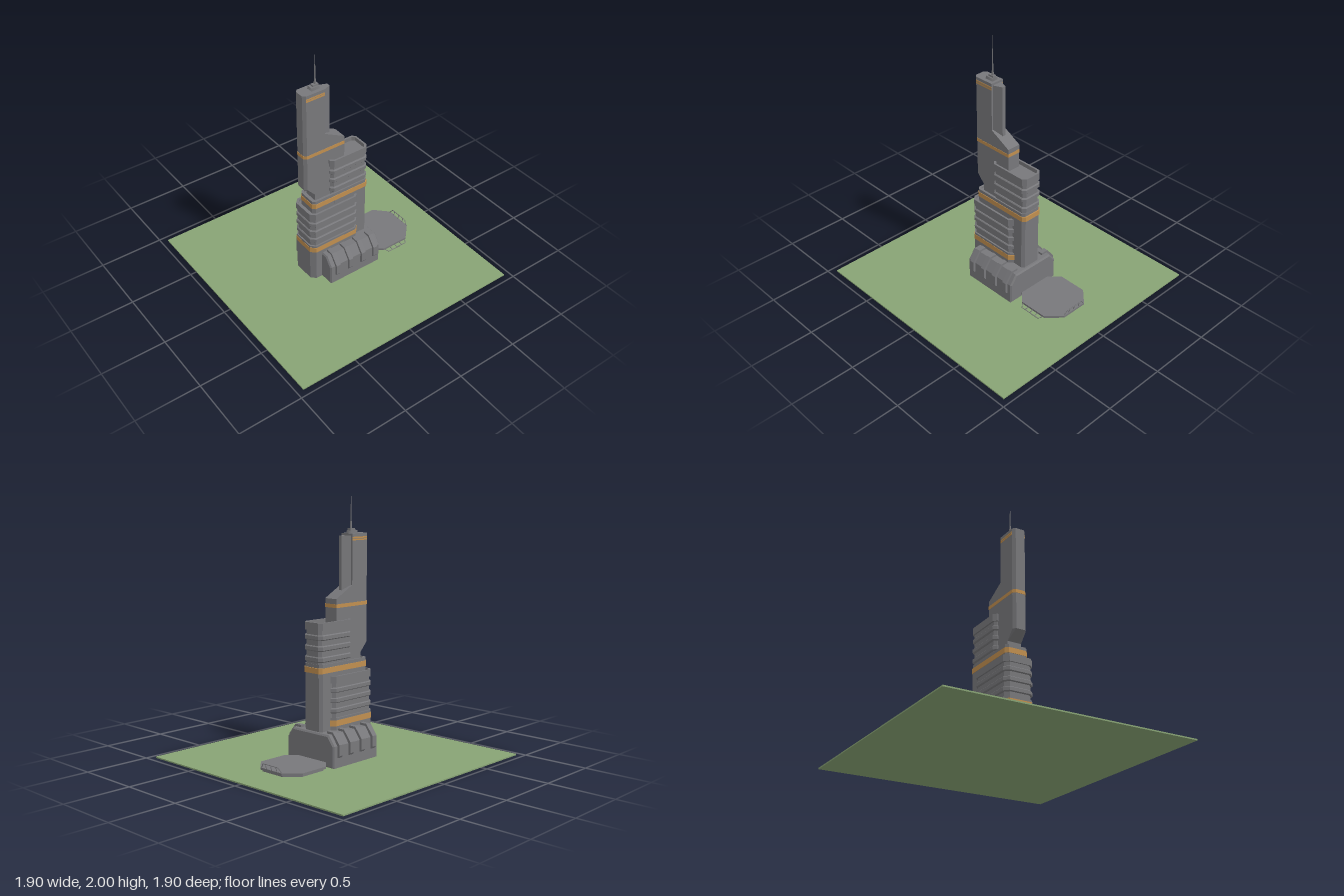
import * as THREE from 'three';

const material = (name, color) => {
  const m = new THREE.MeshStandardMaterial({ color });
  m.name = name;
  return m;
};

export function createModel() {
  const concrete = material('concrete grey', 0x78787b);
  const amber = material('amber band', 0xc08f4f);
  const grass = material('grass green', 0x88a374);

  const model = new THREE.Group();
  model.name = 'skyscraper';

  function add(parent, name, geometry, mat = concrete) {
    const mesh = new THREE.Mesh(geometry, mat);
    mesh.name = name;
    parent.add(mesh);
    return mesh;
  }
  function group(name) {
    const g = new THREE.Group();
    g.name = name;
    model.add(g);
    return g;
  }
  function box(parent, name, x0, x1, y0, y1, z0, z1, mat) {
    const g = new THREE.BoxGeometry(x1 - x0, y1 - y0, z1 - z0);
    g.translate((x0 + x1) / 2, (y0 + y1) / 2, (z0 + z1) / 2);
    return add(parent, name, g, mat);
  }
  const points = list => list.map(([a, b]) => new THREE.Vector2(a, b));

  // Rectangle in plan with cut corners
  const plan = (x0, x1, z, c) => points([
    [x0 + c, -z], [x1 - c, -z], [x1, -z + c], [x1, z - c],
    [x1 - c, z], [x0 + c, z], [x0, z - c], [x0, -z + c]]);

  // Upright prism from a plan, with optional bevel and opening
  function prism(outline, y0, y1, bevel = 0, hole = null) {
    const shape = new THREE.Shape(outline);
    if (hole) shape.holes.push(new THREE.Path(hole));
    const g = new THREE.ExtrudeGeometry(shape, {
      depth: y1 - y0 - 2 * bevel, bevelEnabled: bevel > 0, bevelSegments: 1,
      bevelSize: bevel, bevelThickness: bevel, bevelOffset: -bevel });
    g.rotateX(-Math.PI / 2);
    g.translate(0, y0 + bevel, 0);
    return g;
  }

  // Ground
  box(model, 'ground', -0.95, 0.95, 0, 0.01, -0.95, 0.95, grass);

  // Podium with sloping shoulders
  const podium = group('podium');
  const hall = new THREE.ExtrudeGeometry(new THREE.Shape(points([
    [-0.235, 0.005], [0.235, 0.005], [0.235, 0.17], [0.18, 0.245], [-0.18, 0.245], [-0.235, 0.17]])),
  { depth: 0.452, bevelThickness: 0.01, bevelSize: 0.012, bevelOffset: -0.012, bevelSegments: 1 });
  hall.rotateY(Math.PI / 2);
  hall.translate(-0.18, 0, 0);
  add(podium, 'podiumHall', hall);

  // Buttresses wrapped over both shoulders
  for (const x of [-0.13, -0.01, 0.11, 0.225]) {
    for (const side of [-1, 1]) {
      const outline = points([[0.22, 0.085], [0.245, 0.085], [0.255, 0.1], [0.255, 0.18],
        [0.19, 0.262], [0.13, 0.262], [0.13, 0.235], [0.18, 0.235], [0.22, 0.17]]
        .map(([z, y]) => [z * side, y]));
      const g = new THREE.ExtrudeGeometry(new THREE.Shape(outline), { depth: 0.036, bevelEnabled: false });
      g.rotateY(-Math.PI / 2);
      g.translate(x + 0.018, 0, 0);
      add(podium, 'buttress', g);
    }
  }

  // Lower block: recessed body, projecting floors and a parapet
  const lower = group('lowerBlock');
  add(lower, 'lowerFoot', prism(plan(-0.275, 0.165, 0.12, 0.035), 0.01, 0.275));
  add(lower, 'lowerBody', prism(plan(-0.265, 0.155, 0.108, 0.03), 0.27, 0.625));
  add(lower, 'lowerBand', prism(plan(-0.277, 0.167, 0.122, 0.035), 0.275, 0.318), amber);
  add(lower, 'lowerFloor', prism(plan(-0.275, 0.165, 0.12, 0.035), 0.318, 0.335));
  for (const y of [0.37, 0.445, 0.52]) {
    add(lower, 'lowerFloor', prism(plan(-0.275, 0.165, 0.12, 0.035), y, y + 0.037, 0.006));
  }
  add(lower, 'lowerParapet', prism(plan(-0.275, 0.165, 0.12, 0.035), 0.59, 0.642, 0,
    plan(-0.26, 0.15, 0.105, 0.03)));

  // Central core, from ground to the middle terrace
  const core = group('centralCore');
  add(core, 'coreShaft', prism(plan(-0.238, 0.258, 0.088, 0.02), 0.01, 0.72));
  add(core, 'coreBand', prism(plan(-0.241, 0.267, 0.092, 0.022), 0.67, 0.71), amber);
  add(core, 'coreParapet', prism(plan(-0.238, 0.258, 0.088, 0.02), 0.71, 0.735, 0,
    plan(-0.222, 0.242, 0.074, 0.016)));

  // Right tower with projecting floors and a sunken roof
  const right = group('rightTower');
  add(right, 'rightBody', prism(plan(-0.065, 0.255, 0.078, 0.02), 0.64, 1.005));
  add(right, 'rightFoot', prism(plan(-0.075, 0.262, 0.089, 0.025), 0.64, 0.67));
  for (const y of [0.75, 0.83, 0.908]) {
    add(right, 'rightFloor', prism(plan(-0.075, 0.265, 0.09, 0.025), y, y + 0.04, 0.007));
  }
  add(right, 'rightParapet', prism(plan(-0.075, 0.265, 0.09, 0.025), 0.98, 1.036, 0,
    plan(-0.06, 0.25, 0.075, 0.02)));

  // Upper tower: stepped side profile, with the outer end cut at its corners
  const upper = group('upperTower');
  const profile = points([[-0.285, 0.845], [-0.2, 0.775], [-0.2, 0.7], [0.065, 0.7], [0.065, 1.19],
    [-0.105, 1.28], [-0.105, 1.656], [-0.285, 1.656]]);
  const slab = new THREE.ExtrudeGeometry(new THREE.Shape(profile), { depth: 0.11, steps: 3, bevelEnabled: false });
  slab.translate(0, 0, -0.055);
  const p = slab.attributes.position;
  for (let i = 0; i < p.count; i++) {
    const z = p.getZ(i);
    if (Math.abs(z) < 0.03) p.setZ(i, Math.sign(z) * 0.035);
    else if (p.getX(i) < -0.28) p.setX(i, -0.264);
  }
  slab.computeVertexNormals();
  add(upper, 'upperSlab', slab);

  // Tapering fin down the inner side
  const fin = points([[-0.11, -0.044], [-0.036, -0.013], [-0.036, 0.013], [-0.11, 0.044]]);
  add(upper, 'upperFin', prism(fin, 1.235, 1.64));

  // Painted bands
  const bandPlan = points([[-0.265, -0.057], [0.067, -0.057], [0.067, 0.057], [-0.265, 0.057],
    [-0.287, 0.036], [-0.287, -0.036]]);
  add(upper, 'upperBand', prism(bandPlan, 1.125, 1.152), amber);
  for (const y of [1.605, 1.62]) {
    for (const z of [-0.0555, 0.0555]) {
      box(upper, 'crownStripe', -0.264, -0.105, y, y + 0.011, z - 0.0015, z + 0.0015, amber);
    }
  }

  // Mast
  const mast = group('mast');
  const pyramid = new THREE.CylinderGeometry(0.032, 0.036, 0.022, 4, 1);
  pyramid.rotateY(Math.PI / 4);
  pyramid.scale(1.4, 1, 1);
  add(mast, 'mastBase', pyramid.toNonIndexed()).position.set(-0.162, 1.667, 0);
  box(mast, 'mastBlock', -0.178, -0.13, 1.675, 1.692, -0.014, 0.014);
  const pole = new THREE.LatheGeometry(points([[0.009, 1.685], [0.007, 1.72], [0.0045, 1.76],
    [0.004, 1.84], [0.0022, 1.85], [0.0008, 2]]), 8);
  add(mast, 'mastPole', pole).position.x = -0.15;

  // Landing pad: wide deck over a smaller underside
  const pad = group('landingPad');
  const deck = points([[0.28, -0.12], [0.36, -0.195], [0.585, -0.195], [0.69, -0.085],
    [0.69, 0.13], [0.585, 0.235], [0.36, 0.235], [0.28, 0.155]]);
  add(pad, 'padDeck', prism(deck, 0.03, 0.046));
  const under = deck.map(v => new THREE.Vector2(0.485 + (v.x - 0.485) * 0.93, 0.02 + (v.y - 0.02) * 0.93));
  add(pad, 'padUnderside', prism(under, 0.016, 0.03));

  // Guard rails
  function rail(name, list) {
    const path = new THREE.CurvePath();
    const v = list.map(a => new THREE.Vector3(...a));
    for (let i = 1; i < v.length; i++) path.add(new THREE.LineCurve3(v[i - 1], v[i]));
    add(pad, name, new THREE.TubeGeometry(path, (v.length - 1) * 4, 0.003, 5));
  }
  rail('frontRail', [[0.37, 0.036, 0.192], [0.385, 0.026, 0.226], [0.56, 0.026, 0.226], [0.576, 0.036, 0.192]]);
  for (const x of [0.425, 0.472, 0.52]) rail('frontPost', [[x, 0.036, 0.192], [x, 0.026, 0.226]]);
  rail('endRail', [[0.683, 0.046, 0.08], [0.692, 0.08, 0.055], [0.692, 0.08, -0.1], [0.683, 0.046, -0.125]]);
  for (const z of [0.03, -0.022, -0.075]) rail('endPost', [[0.683, 0.046, z], [0.692, 0.08, z]]);

  return model;
}
